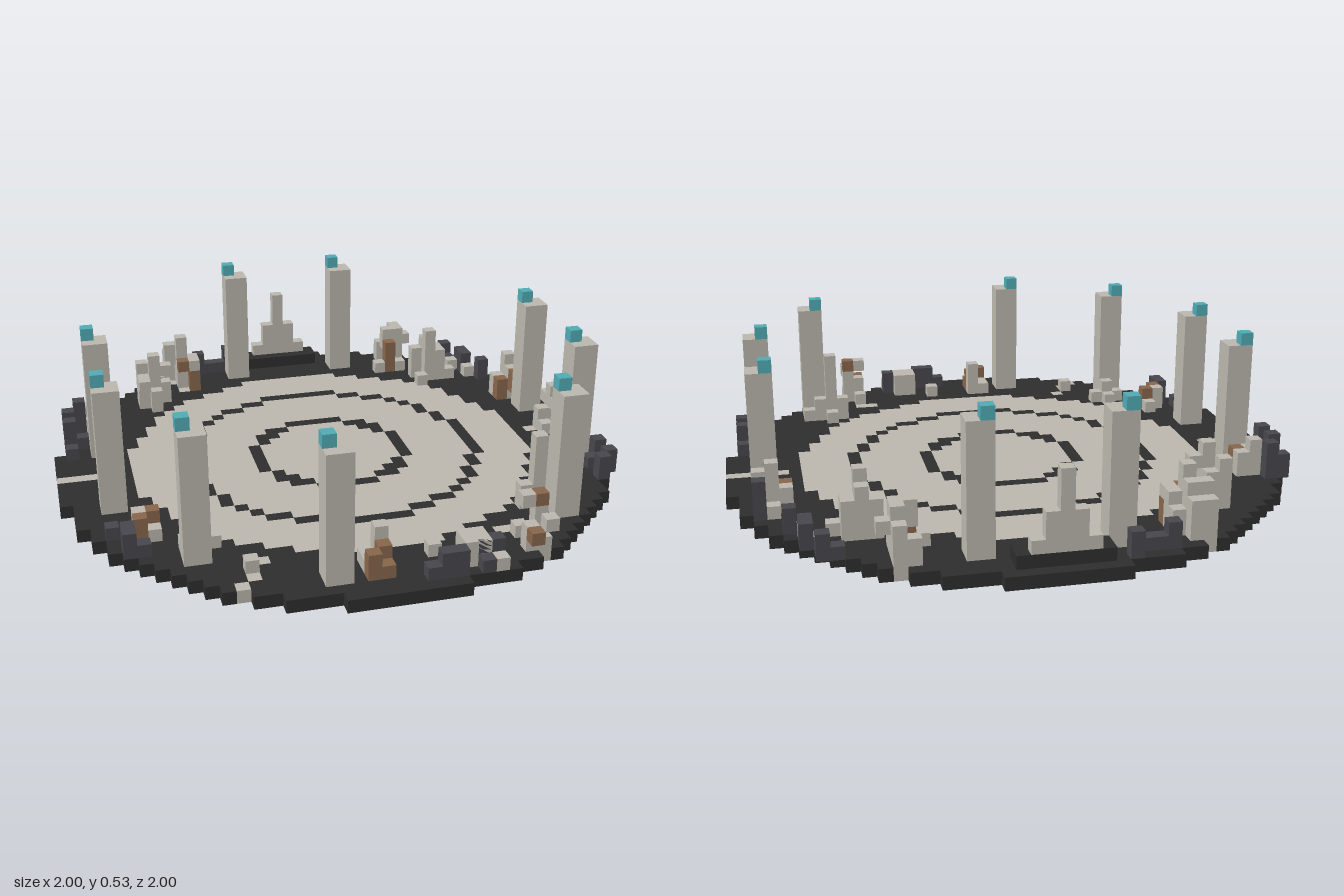
import * as THREE from 'three';
import { mergeGeometries } from 'three/addons/utils/BufferGeometryUtils.js';

const V = 2 / 45; // size of one block
const mat = (name, color) => {
  const m = new THREE.MeshStandardMaterial({ color });
  m.name = name;
  return m;
};

// Box covering an inclusive range of grid cells
function cells(x0, x1, y0, y1, z0, z1) {
  const w = x1 - x0 + 1, h = y1 - y0 + 1, d = z1 - z0 + 1;
  return new THREE.BoxGeometry(w * V, h * V, d * V)
    .translate((x0 + x1) / 2 * V, (y0 + h / 2) * V, (z0 + z1) / 2 * V);
}

export function createModel() {
  const root = new THREE.Group();
  root.name = 'ruinedArena';
  const basalt = mat('basalt', 0x2d2d2d);
  const stone = mat('paleStone', 0xbab6ad);
  const slate = mat('slate', 0x46464c);
  const rust = mat('rustBrown', 0x86654a);
  const crystal = mat('tealCrystal', 0x50aab3);

  const add = (parent, name, geos, material) => {
    const mesh = new THREE.Mesh(mergeGeometries(geos), material);
    mesh.name = name;
    parent.add(mesh);
  };
  // Stacks are [x, z, bottom, top] in grid cells
  const stacks = (list) => list.map(([x, z, a, b]) => cells(x, x, a, b, z, z));

  // Six inlaid spokes between the inner floor and the rim
  const spokes = new Set();
  for (let k = 0; k < 6; k++) {
    const a = k * Math.PI / 3;
    for (let r = 18; r <= 22; r++) {
      spokes.add(Math.round(r * Math.cos(a)) + ',' + Math.round(r * Math.sin(a)));
    }
  }

  // Round floor: dark rim, pale disc and two dark rings, built row by row
  const isPale = (x, z) => {
    const r = Math.hypot(x, z);
    if (r <= 16.5) return Math.abs(r - 12) >= 0.5 && Math.abs(r - 6) >= 0.5;
    return spokes.has(x + ',' + z);
  };
  const dark = [], pale = [];
  for (let z = -22; z <= 22; z++) {
    const half = Math.floor(Math.sqrt(22.5 * 22.5 - z * z));
    let start = -half;
    for (let x = -half; x <= half; x++) {
      if (x === half || isPale(x + 1, z) !== isPale(x, z)) {
        (isPale(x, z) ? pale : dark).push(cells(start, x, 0, 0, z, z));
        start = x + 1;
      }
    }
  }
  add(root, 'darkFloor', dark, basalt);
  add(root, 'paleFloor', pale, stone);

  // Standing pillars with a crystal on one corner
  const spots = [[-5, -19], [5, -19], [-19, -5], [19, -5], [-19, 5], [19, 5],
    [-14, 14], [14, 14], [-5, 19]];
  for (const [x, z] of spots) {
    const pillar = new THREE.Group();
    pillar.name = 'pillar';
    add(pillar, 'pillarShaft', [cells(x, x + 1, 1, 10, z, z + 1)], stone);
    add(pillar, 'pillarCrystal', [cells(x, x, 11, 11, z, z)], crystal);
    root.add(pillar);
  }
  add(root, 'brokenPillar', [cells(5, 6, 1, 2, 19, 20)], stone);

  // Stepped monument at the back
  add(root, 'monumentBase', [cells(-3, 3, 1, 1, -21, -20)], basalt);
  add(root, 'monument', [
    cells(-2, 2, 2, 2, -21, -21), cells(-1, 1, 3, 4, -21, -21), cells(0, 0, 5, 7, -21, -21),
  ], stone);

  // Crumbled pale masonry around the rim
  add(root, 'backRubble', stacks([
    [-11, -19, 1, 3], [-10, -19, 1, 3], [-11, -18, 3, 4], [-10, -18, 1, 4], [-9, -18, 1, 2],
    [-10, -17, 1, 5], [-9, -17, 1, 3], [-9, -16, 3, 3],
    [11, -19, 1, 3], [10, -19, 1, 2], [11, -18, 1, 4], [12, -18, 3, 3],
    [10, -17, 3, 4], [11, -17, 1, 4], [9, -16, 1, 1], [11, -16, 1, 1],
    [-14, -14, 1, 4], [-13, -14, 1, 3], [-14, -13, 1, 3], [-13, -13, 1, 5], [-12, -13, 4, 4],
    [-12, -14, 1, 2], [-13, -12, 1, 2], [-14, -12, 3, 3],
    [12, -14, 1, 3], [13, -14, 1, 4], [14, -14, 1, 3], [13, -13, 1, 5], [14, -13, 1, 3],
    [15, -13, 1, 1], [12, -12, 1, 1],
  ]), stone);
  add(root, 'sideRubble', stacks([
    [19, -9, 1, 1], [19, -8, 1, 4], [18, -8, 1, 2], [19, -7, 1, 3], [20, -7, 3, 3],
    [-19, -8, 1, 3], [-18, -8, 1, 2], [-19, -7, 1, 2],
    [19, 0, 1, 2], [20, 0, 1, 4], [20, -1, 3, 3], [20, 1, 3, 3], [19, 1, 1, 1],
    [-16, 9, 1, 1], [-17, 10, 1, 2], [-16, 11, 1, 1],
  ]), stone);
  add(root, 'frontRubble', stacks([
    [13, 13, 1, 6], [12, 13, 1, 2], [14, 13, 1, 2], [15, 13, 1, 1], [13, 12, 1, 1],
    [-13, 13, 1, 2], [-12, 13, 1, 1], [-14, 13, 1, 1], [-13, 12, 1, 1],
    [11, 18, 1, 3], [10, 18, 4, 4], [10, 17, 1, 1], [11, 19, 1, 1], [11, 20, 3, 3],
    [10, 19, 1, 2], [-10, 17, 1, 1], [-2, 18, 1, 1], [-1, 18, 1, 3], [3, 18, 1, 1],
    [-2, 19, 1, 1],
  ]), stone);

  // Rusted blocks among the masonry
  add(root, 'rustedBlocks', stacks([
    [-10, -16, 3, 3], [-9, -16, 1, 2], [10, -16, 1, 3], [18, -7, 1, 2], [19, -6, 2, 3],
    [-18, -7, 1, 2], [-17, 11, 1, 2], [-16, 10, 1, 2], [-1, 19, 1, 2], [-2, 20, 1, 2],
    [-1, 20, 1, 1], [11, 18, 4, 4], [10, 20, 2, 2],
  ]), rust);

  // Low slate posts along the rim
  add(root, 'slatePosts', stacks([
    [2, 21, 1, 1], [3, 21, 1, 2], [4, 21, 1, 2], [6, 20, 1, 2], [7, 20, 1, 2], [6, 21, 1, 1],
    [20, 6, 1, 2], [21, 5, 1, 1], [21, 7, 1, 2], [20, 8, 1, 1], [21, 9, 1, 2], [20, 10, 1, 2],
    [-21, -9, 1, 2], [-20, -9, 1, 3], [-21, -7, 1, 3], [-20, -6, 1, 1], [-21, -5, 1, 3],
    [-21, -4, 1, 1], [-18, 12, 1, 2], [-18, 13, 1, 2], [-17, 13, 1, 1], [-19, 10, 1, 1],
    [-8, -20, 1, 2], [-7, -20, 1, 1], [-5, -21, 1, 2], [-6, -20, 1, 1],
    [16, -17, 1, 2], [16, -16, 1, 1], [17, -15, 1, 2], [17, -14, 1, 2], [15, -17, 1, 1],
    [18, -12, 1, 2], [20, -9, 1, 3],
  ]), slate);
  add(root, 'looseStones', stacks([[16, -15, 1, 1], [17, -13, 1, 1], [7, 21, 1, 1]]), stone);

  return root;
}
